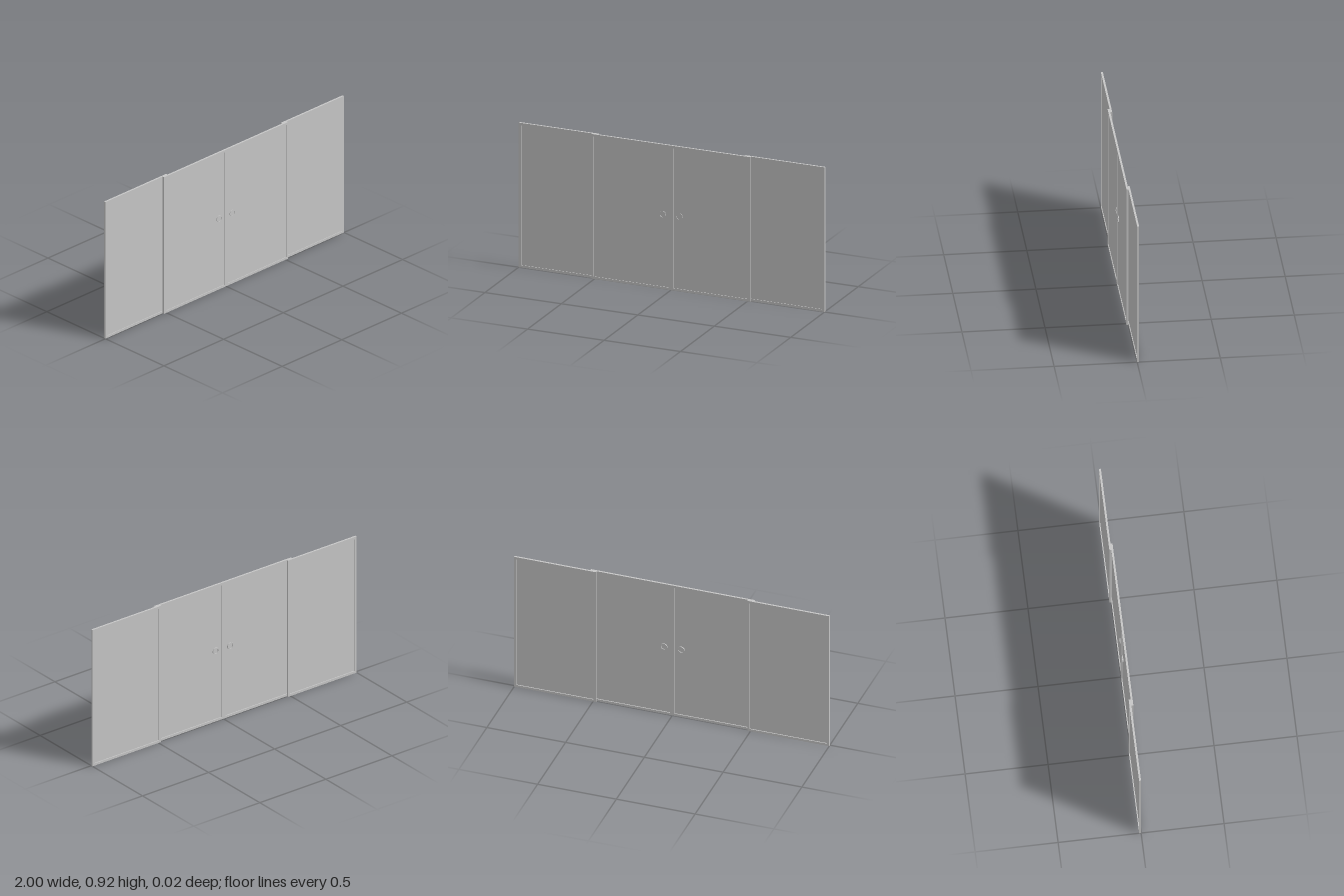
import * as THREE from 'three';

const HEIGHT = 0.917, WIDTH = 0.52, DEPTH = 0.012, BORDER = 0.015;
const PANE_THICKNESS = 0.002, PANE_Z = 0.001;

// Extrude a shape through the full panel depth, centred on z
function extrudeThrough(shape) {
  return new THREE.ExtrudeGeometry(shape, { depth: DEPTH, bevelEnabled: false, curveSegments: 24 })
    .translate(0, 0, -DEPTH / 2);
}

// Rectangular surround of stiles and rails
function frameGeometry() {
  const w = WIDTH / 2, h = HEIGHT / 2;
  const rect = (C, a, b) => new C([
    new THREE.Vector2(-a, -b), new THREE.Vector2(a, -b),
    new THREE.Vector2(a, b), new THREE.Vector2(-a, b),
  ]);
  const shape = rect(THREE.Shape, w, h);
  shape.holes.push(rect(THREE.Path, w - BORDER, h - BORDER));
  return extrudeThrough(shape);
}

// Round finger pull, a raised ring on both faces of the pane
function pullGeometry() {
  const shape = new THREE.Shape().absarc(0, 0, 0.022, 0, Math.PI * 2, false);
  shape.holes.push(new THREE.Path().absarc(0, 0, 0.017, 0, Math.PI * 2, true));
  return extrudeThrough(shape);
}

export function createModel() {
  const model = new THREE.Group();
  model.name = 'slidingDoors';
  const grey = new THREE.MeshStandardMaterial({ color: 0xc6c6c6 });
  grey.name = 'lightGrey';

  const add = (parent, name, geometry) => {
    const mesh = new THREE.Mesh(geometry, grey);
    mesh.name = name;
    parent.add(mesh);
    return mesh;
  };

  // Panel: thin pane held inside a frame
  const frame = frameGeometry();
  const pane = new THREE.BoxGeometry(WIDTH - BORDER * 2, HEIGHT - BORDER * 2, PANE_THICKNESS);
  const pull = pullGeometry();

  const addPanel = (name, x, z) => {
    const panel = new THREE.Group();
    panel.name = name;
    panel.position.set(x, HEIGHT / 2, z);
    add(panel, 'frame', frame);
    add(panel, 'pane', pane).position.z = PANE_Z;
    model.add(panel);
    return panel;
  };

  for (const [side, s] of [['left', 1], ['right', -1]]) {
    // Fixed panel behind, sliding door in front
    addPanel(side + 'FixedPanel', s * (1 - WIDTH / 2), -DEPTH / 2);
    const door = addPanel(side + 'Door', s * WIDTH / 2, DEPTH / 2);
    add(door, 'fingerPull', pull).position.set(s * (0.055 - WIDTH / 2), 0.472 - HEIGHT / 2, 0);
  }
  return model;
}
